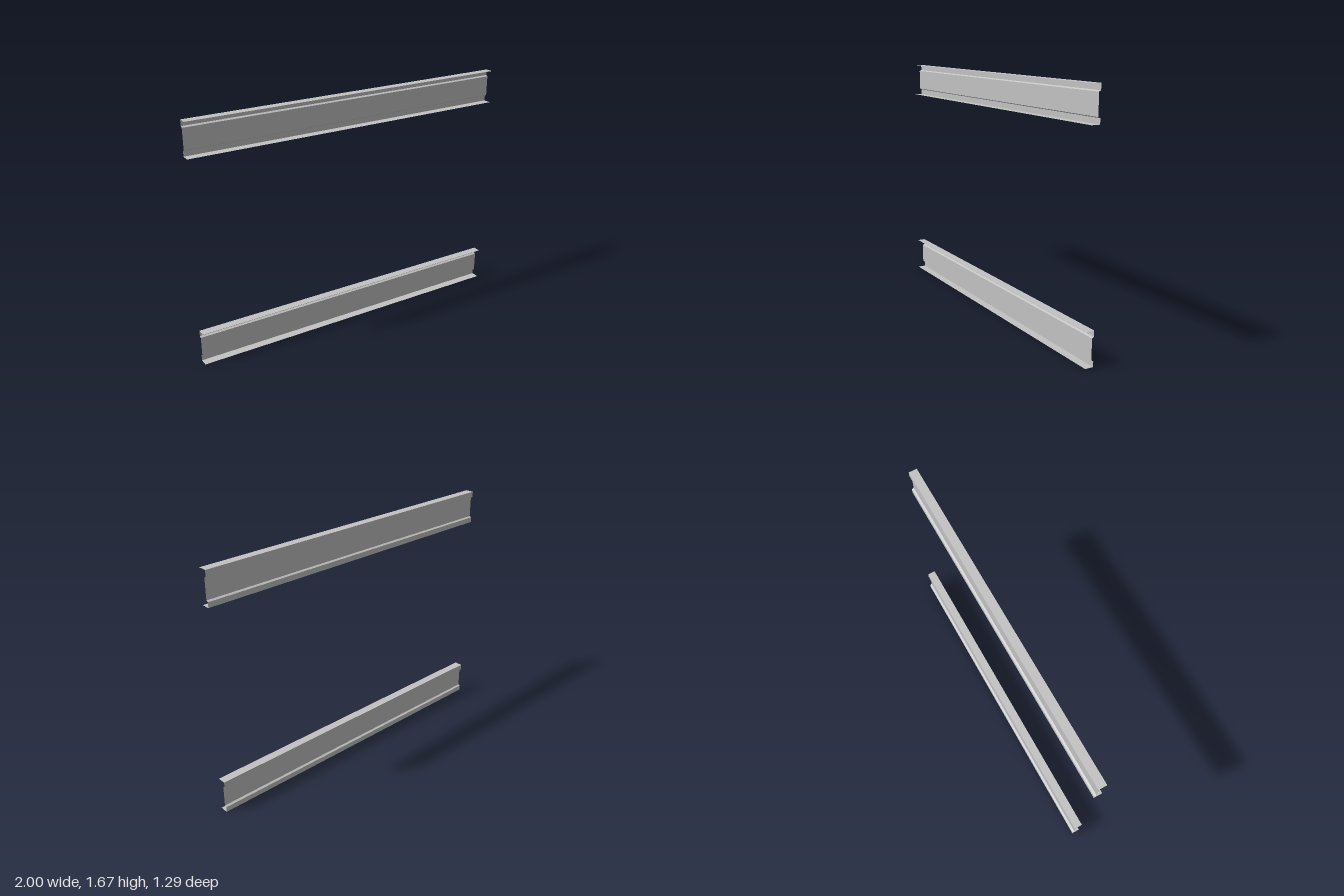
import * as THREE from 'three';

const LENGTH = 2.33;
const ANGLE = Math.atan2(1.245, 1.97);

// Cross-section of the folded sheet as [z, y]: flange, lip, recessed web, lip, flange
const PROFILE = [
  [0.029, 0], [-0.029, 0], [-0.029, 0.036], [-0.015, 0.043],
  [-0.015, 0.183], [-0.029, 0.19], [-0.029, 0.231], [0.029, 0.231],
];

// Sweep the open profile along x, one flat strip per fold
function channelGeometry() {
  const h = LENGTH / 2;
  const positions = [];
  for (let i = 0; i < PROFILE.length - 1; i++) {
    const [z0, y0] = PROFILE[i];
    const [z1, y1] = PROFILE[i + 1];
    const a = [-h, y0, z0], b = [h, y0, z0], c = [h, y1, z1], d = [-h, y1, z1];
    positions.push(...a, ...c, ...b, ...a, ...d, ...c);
  }
  const geometry = new THREE.BufferGeometry();
  geometry.setAttribute('position', new THREE.Float32BufferAttribute(positions, 3));
  geometry.computeVertexNormals();
  return geometry;
}

export function createModel() {
  const model = new THREE.Group();
  model.name = 'railPair';
  const steel = new THREE.MeshStandardMaterial({ color: 0xc2c2c2, side: THREE.DoubleSide });
  steel.name = 'steel grey';

  // Two identical channel rails, one above the other, turned in plan
  const geometry = channelGeometry();
  for (const [name, y] of [['lowerRail', 0], ['upperRail', 1.443]]) {
    const rail = new THREE.Mesh(geometry, steel);
    rail.name = name;
    rail.position.y = y;
    rail.rotation.y = ANGLE;
    model.add(rail);
  }
  return model;
}
